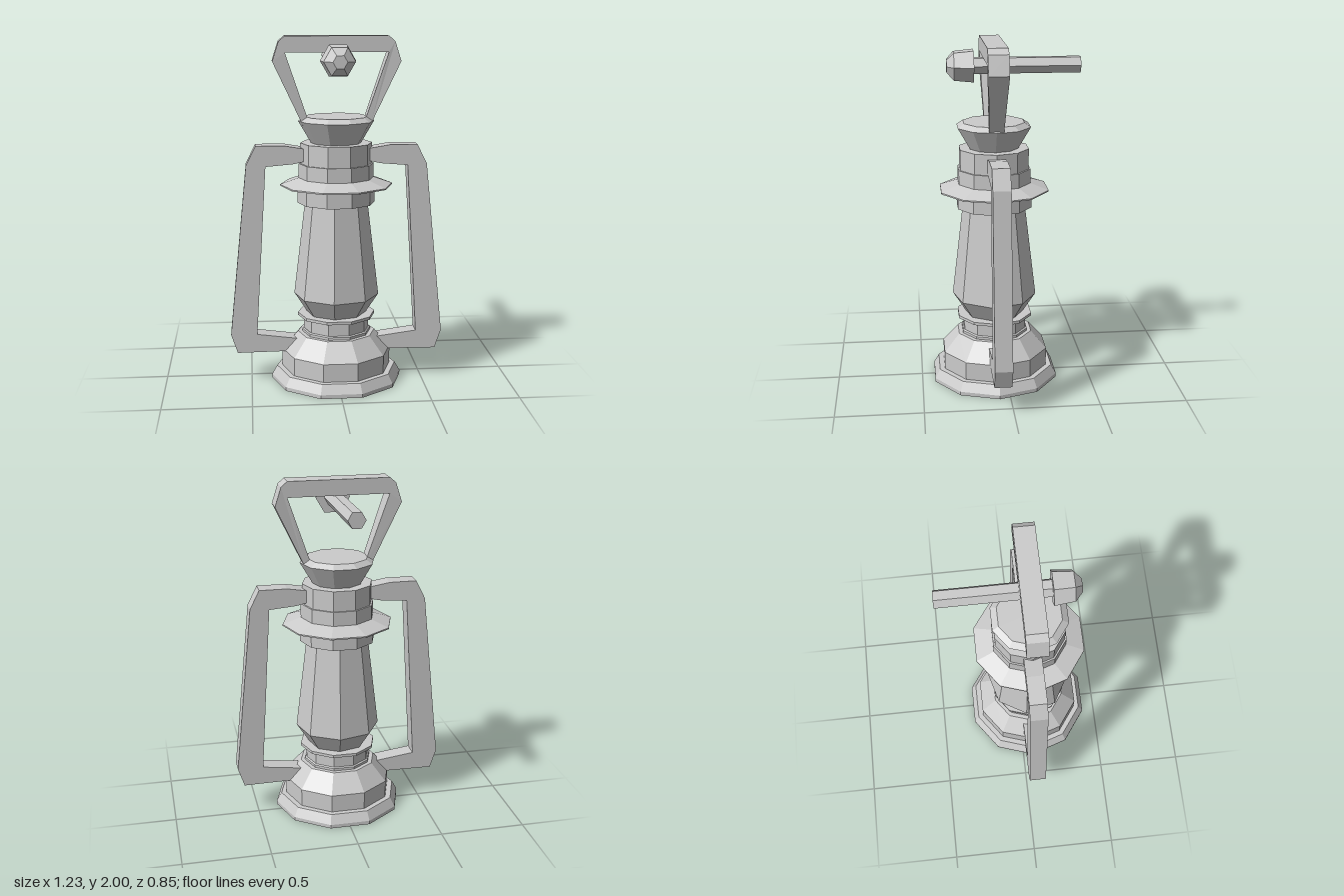
import * as THREE from 'three';

const AXIS_Z = 0.0625; // the lantern body sits slightly forward of centre
const material = new THREE.MeshStandardMaterial({ color: 0xcccccc, flatShading: true });

function addMesh(parent, name, geometry) {
  const mesh = new THREE.Mesh(geometry, material);
  mesh.name = name;
  parent.add(mesh);
  return mesh;
}

// Closed faceted solid turned from [radius, height] pairs, listed bottom to top
function turned(pairs, sides, startDegrees) {
  const first = pairs[0], last = pairs[pairs.length - 1];
  const points = [[0, first[1]], ...pairs, [0, last[1]]].map(([r, y]) => new THREE.Vector2(r, y));
  return new THREE.LatheGeometry(points, sides, THREE.MathUtils.degToRad(startDegrees));
}

// Flat outline given thickness along z, centred on z = 0
function slab(outline, depth) {
  const shape = new THREE.Shape(outline.map(([x, y]) => new THREE.Vector2(x, y)));
  const geometry = new THREE.ExtrudeGeometry(shape, { depth, bevelEnabled: false });
  return geometry.translate(0, 0, -depth / 2);
}

export function createModel() {
  const lantern = new THREE.Group();
  lantern.name = 'lantern';
  const body = new THREE.Group();
  body.name = 'body';
  body.position.z = AXIS_Z;
  lantern.add(body);

  // Ten-sided metal parts, with corners on the left and right
  const metalParts = {
    foot: [[0.38, 0], [0.38, 0.022], [0.35, 0.075], [0.32, 0.075]],
    fuelTank: [[0.318, 0.07], [0.318, 0.18], [0.225, 0.285]],
    tankRim: [[0.2, 0.28], [0.2, 0.3], [0.193, 0.305]],
    collar: [[0.19, 0.29], [0.19, 0.385]],
    collarRing: [[0.225, 0.383], [0.225, 0.4]],
    lowerBand: [[0.222, 1.055], [0.222, 1.157]],
    brim: [[0.322, 1.155], [0.322, 1.163], [0.2, 1.205]],
    middleBand: [[0.215, 1.17], [0.215, 1.282]],
    upperBand: [[0.205, 1.28], [0.205, 1.4]],
    cap: [[0.138, 1.39], [0.217, 1.525], [0.18, 1.55]],
  };
  for (const [name, profile] of Object.entries(metalParts)) {
    addMesh(body, name, turned(profile, 10, 18));
  }

  // Eight-sided chimney, turned slightly off the front
  addMesh(body, 'glassChimney', turned([[0.17, 0.395], [0.246, 0.51], [0.18, 1.06]], 8, -7.5));

  // Bent side frames joining the tank to the upper band
  const frame = [
    [0.2, 0.25], [0.2, 0.2], [0.31, 0.178], [0.58, 0.175], [0.617, 0.285],
    [0.515, 1.28], [0.46, 1.39], [0.3, 1.39], [0.18, 1.37],
    [0.18, 1.3], [0.25, 1.285], [0.405, 1.272], [0.465, 0.285],
  ];
  addMesh(body, 'leftFrame', slab(frame, 0.1));
  addMesh(body, 'rightFrame', slab(frame, 0.1)).rotation.y = Math.PI;

  // Carrying handle, thinner towards the cap
  const side = [
    [0.15, 1.5], [0.19, 1.5], [0.36, 1.86], [0.325, 1.97], [0.29, 2],
  ];
  const inner = [[0.29, 1.91]];
  const mirror = (list) => list.map(([x, y]) => [-x, y]).reverse();
  const handle = slab([...side, ...mirror(side), ...mirror(inner), ...inner], 0.114);
  const p = handle.attributes.position;
  for (let i = 0; i < p.count; i++) {
    const t = THREE.MathUtils.clamp((1.86 - p.getY(i)) / 0.36, 0, 1);
    p.setZ(i, p.getZ(i) * (1 - 0.3 * t));
  }
  handle.computeVertexNormals();
  addMesh(body, 'carryingHandle', handle);

  // Six-sided rod and rounded knob lying front to back above the cap
  const peg = new THREE.Group();
  peg.name = 'hangingPeg';
  peg.position.y = 1.867;
  peg.rotation.x = Math.PI / 2;
  lantern.add(peg);
  addMesh(peg, 'rod', turned([[0.05, -0.427], [0.05, 0.18]], 6, 30));
  addMesh(peg, 'knob', turned([[0.1, 0.175], [0.088, 0.285], [0.04, 0.325]], 6, 30));

  return lantern;
}
